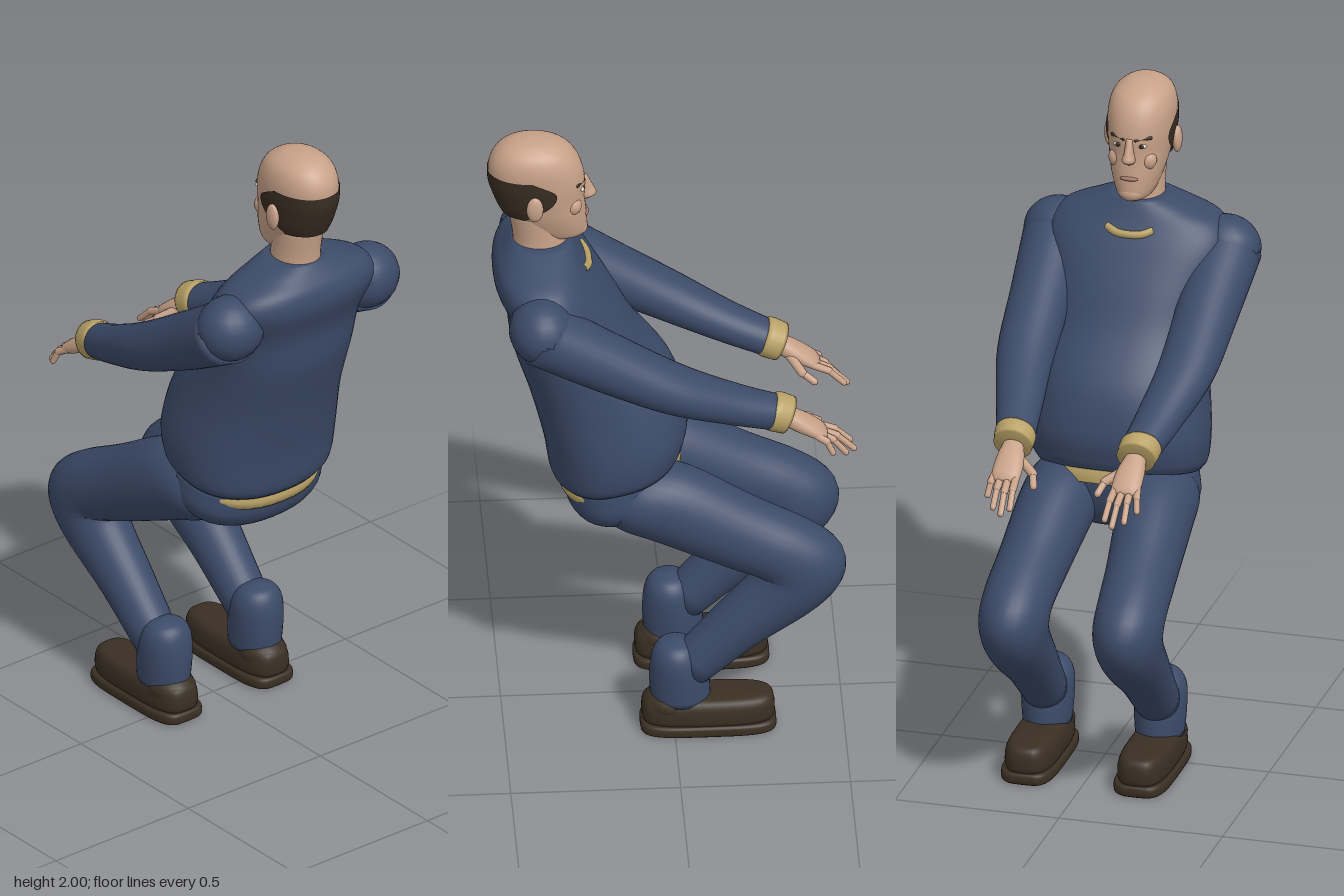
import * as THREE from 'three';

const mat = (name, color, side = THREE.FrontSide) => {
  const m = new THREE.MeshStandardMaterial({ color, side });
  m.name = name;
  return m;
};

export function createModel() {
  const navy = mat('navy cloth', 0x3c4b69);
  const skin = mat('skin', 0xc8a289);
  const tan = mat('tan shirt', 0xb9a267);
  const brown = mat('shoe leather', 0x3a2f23);
  const hairMat = mat('dark hair', 0x382d22, THREE.DoubleSide);
  const white = mat('eye white', 0xd8d2c8);
  const lip = mat('lips', 0xa5786a);

  const model = new THREE.Group();
  model.name = 'crouchingMan';
  const V = (x, y, z) => new THREE.Vector3(x, y, z);

  function add(name, geometry, material, parent = model) {
    const mesh = new THREE.Mesh(geometry, material);
    mesh.name = name;
    parent.add(mesh);
    return mesh;
  }

  // Smooth loft. Ring: [x, y, z, halfWidth, halfDepth, pitch, startAngle]
  // Pitch 0 travels up, 90 forward (-z), 180 down. A start angle over -90 leaves the front open.
  function loft(rings, e = 2, n = 32, steps = 5) {
    const curve = f => new THREE.CatmullRomCurve3(rings.map(f), false, 'catmullrom', 0.5);
    const centre = curve(r => V(r[0], r[1], r[2]));
    const size = curve(r => V(r[3], r[4], r[5] ?? 0));
    const open = curve(r => V(r[6] ?? -90, 0, 0));
    const closed = rings.every(r => r[6] === undefined);
    const cols = closed ? n : n + 1;
    const rows = (rings.length - 1) * steps;
    const pos = [], idx = [];
    const pw = v => Math.sign(v) * Math.abs(v) ** (2 / e);
    for (let i = 0; i <= rows; i++) {
      const c = centre.getPoint(i / rows), s = size.getPoint(i / rows);
      const start = open.getPoint(i / rows).x, p = THREE.MathUtils.degToRad(s.z);
      for (let j = 0; j < cols; j++) {
        const t = THREE.MathUtils.degToRad(start + (180 - 2 * start) * j / n);
        const d = s.y * pw(Math.sin(t));
        pos.push(c.x + s.x * pw(Math.cos(t)), c.y + d * Math.sin(p), c.z + d * Math.cos(p));
      }
    }
    for (let i = 0; i < rows; i++) for (let j = 0; j < n; j++) {
      const a = i * cols + j, b = i * cols + (j + 1) % cols;
      idx.push(a, a + cols, b, b, a + cols, b + cols);
    }
    if (closed) {
      const k = pos.length / 3, last = rows * cols;
      pos.push(...centre.getPoint(0).toArray(), ...centre.getPoint(1).toArray());
      for (let j = 0; j < n; j++) {
        const q = (j + 1) % n;
        idx.push(k, j, q, k + 1, last + q, last + j);
      }
    }
    const g = new THREE.BufferGeometry();
    g.setAttribute('position', new THREE.Float32BufferAttribute(pos, 3));
    g.setIndex(idx);
    g.computeVertexNormals();
    return g;
  }

  const ball = (x, y, z, rx, ry, rz) =>
    new THREE.SphereGeometry(1, 20, 14).scale(rx, ry, rz).translate(x, y, z);

  // Capsule between two points
  function finger(a, b, r) {
    const d = b.clone().sub(a);
    const g = new THREE.CapsuleGeometry(r, d.length(), 4, 10);
    g.applyQuaternion(new THREE.Quaternion().setFromUnitVectors(V(0, 1, 0), d.normalize()));
    const m = a.clone().add(b).multiplyScalar(0.5);
    return g.translate(m.x, m.y, m.z);
  }

  // Jumper, trousers seat and shirt tail
  add('torso', loft([
    [0, 0.87, 0.155, 0.24, 0.188, -14],
    [0, 0.905, 0.16, 0.26, 0.205, -13],
    [0, 1.0, 0.165, 0.267, 0.215, -8],
    [0, 1.15, 0.205, 0.25, 0.215, -4],
    [0, 1.3, 0.28, 0.24, 0.19],
    [0, 1.42, 0.322, 0.25, 0.165],
    [0, 1.52, 0.37, 0.275, 0.152],
    [0, 1.58, 0.388, 0.245, 0.13],
    [0, 1.62, 0.385, 0.16, 0.105],
    [0, 1.648, 0.38, 0.085, 0.085],
  ], 2.3, 48), navy);
  add('pelvis', loft([
    [0, 0.7, 0.12, 0.1, 0.07, -8],
    [0, 0.73, 0.14, 0.19, 0.13, -12],
    [0, 0.79, 0.15, 0.24, 0.165, -14],
    [0, 0.87, 0.155, 0.235, 0.175, -14],
  ], 2.3, 40), navy);
  add('shirtTail', loft([
    [0, 0.828, 0.148, 0.222, 0.184, -14],
    [0, 0.85, 0.153, 0.228, 0.187, -14],
    [0, 0.88, 0.155, 0.22, 0.18, -14],
  ], 2.3, 40), tan);
  add('collar', new THREE.TubeGeometry(new THREE.CatmullRomCurve3(
    [V(-0.07, 1.572, 0.262), V(-0.035, 1.562, 0.245), V(0.035, 1.562, 0.245), V(0.07, 1.572, 0.262)]
  ), 16, 0.012, 8), tan);

  // Head
  const head = new THREE.Group();
  head.name = 'head';
  model.add(head);
  add('neck', loft([
    [0, 1.6, 0.385, 0.078, 0.085], [0, 1.66, 0.385, 0.07, 0.08], [0, 1.76, 0.4, 0.072, 0.08],
  ]), skin, head);
  const skull = [
    [0, 1.655, 0.315, 0.03, 0.045], [0, 1.675, 0.335, 0.055, 0.088], [0, 1.735, 0.355, 0.077, 0.108],
    [0, 1.8, 0.378, 0.09, 0.125], [0, 1.86, 0.392, 0.097, 0.14], [0, 1.92, 0.401, 0.097, 0.134],
    [0, 1.965, 0.405, 0.082, 0.107], [0, 1.992, 0.41, 0.048, 0.062], [0, 2.0, 0.41, 0.012, 0.016],
  ];
  add('skull', loft(skull, 2.15, 40), skin, head);
  add('hair', loft([
    [0, 1.755, 0.375, 0.083, 0.124, 0, 25],
    [0, 1.785, 0.38, 0.093, 0.133, 0, 5],
    [0, 1.82, 0.386, 0.098, 0.14, 0, -14],
    [0, 1.86, 0.392, 0.102, 0.146, 0, -18],
    [0, 1.9, 0.399, 0.1015, 0.141, 0, 4],
  ], 2.15, 40), hairMat, head);
  add('nose', loft([
    [0, 1.783, 0.255, 0.014, 0.017], [0, 1.797, 0.244, 0.02, 0.026],
    [0, 1.82, 0.248, 0.014, 0.022], [0, 1.86, 0.258, 0.01, 0.013],
  ], 2, 14), skin, head);
  add('chin', ball(0, 1.683, 0.265, 0.034, 0.024, 0.022), skin, head);
  add('mouth', ball(0, 1.735, 0.249, 0.028, 0.007, 0.008), lip, head);
  for (const s of [1, -1]) {
    add('ear', ball(0.104 * s, 1.812, 0.405, 0.014, 0.042, 0.025).rotateZ(0), skin, head);
    add('cheek', ball(0.047 * s, 1.785, 0.29, 0.026, 0.03, 0.026), skin, head);
    add('eye', ball(0.036 * s, 1.838, 0.262, 0.016, 0.007, 0.007), white, head);
    add('iris', ball(0.036 * s, 1.838, 0.257, 0.007, 0.007, 0.004), hairMat, head);
    add('eyebrow', finger(V(0.018 * s, 1.856, 0.257), V(0.058 * s, 1.861, 0.277), 0.0055), hairMat, head);
  }

  for (const s of [1, -1]) {
    const side = s > 0 ? 'left' : 'right';

    // Arm reaching forward and down
    const arm = new THREE.Group();
    arm.name = side + 'Arm';
    model.add(arm);
    add('shoulder', ball(0.255 * s, 1.487, 0.395, 0.106, 0.1, 0.096), navy, arm);
    add('sleeve', loft([
      [0.257 * s, 1.48, 0.4, 0.104, 0.098, 118],
      [0.253 * s, 1.36, 0.2, 0.093, 0.088, 118],
      [0.245 * s, 1.25, 0, 0.086, 0.073, 118],
      [0.215 * s, 1.17, -0.17, 0.071, 0.06, 116],
      [0.191 * s, 1.118, -0.3, 0.059, 0.053, 114],
    ]), navy, arm);
    add('cuff', loft([
      [0.193 * s, 1.128, -0.282, 0.058, 0.054, 114],
      [0.191 * s, 1.122, -0.297, 0.062, 0.06, 114],
      [0.188 * s, 1.105, -0.337, 0.058, 0.058, 114],
    ]), tan, arm);

    // Hand
    add('palm', loft([
      [0.187 * s, 1.105, -0.325, 0.03, 0.028, 118],
      [0.184 * s, 1.075, -0.375, 0.042, 0.027, 122],
      [0.183 * s, 1.045, -0.425, 0.044, 0.02, 124],
      [0.183 * s, 1.03, -0.445, 0.034, 0.012, 124],
    ], 2.2, 20), skin, arm);
    const fingers = [
      [0.152, 0.145, 0.98, -0.52], [0.175, 0.17, 0.965, -0.53],
      [0.197, 0.2, 0.972, -0.505], [0.217, 0.228, 0.992, -0.465],
    ];
    for (const [bx, tx, ty, tz] of fingers) {
      const a = V(bx * s, 1.045, -0.42), tip = V(tx * s, ty, tz);
      const knuckle = a.clone().lerp(tip, 0.5).add(V(0, 0.01, -0.005));
      add('fingerBase', finger(a, knuckle, 0.0115), skin, arm);
      add('fingerTip', finger(knuckle, tip, 0.0095), skin, arm);
    }
    add('thumbBase', finger(V(0.16 * s, 1.075, -0.36), V(0.11 * s, 1.045, -0.395), 0.014), skin, arm);
    add('thumbTip', finger(V(0.11 * s, 1.045, -0.395), V(0.098 * s, 1.02, -0.43), 0.011), skin, arm);

    // Bent leg
    const leg = new THREE.Group();
    leg.name = side + 'Leg';
    model.add(leg);
    add('trouserLeg', loft([
      [0.13 * s, 0.835, 0.19, 0.08, 0.07, 117],
      [0.138 * s, 0.812, 0.12, 0.115, 0.115, 117],
      [0.15 * s, 0.775, 0, 0.114, 0.128, 117],
      [0.165 * s, 0.675, -0.2, 0.105, 0.116, 118],
      [0.173 * s, 0.615, -0.325, 0.103, 0.113, 130],
      [0.174 * s, 0.56, -0.372, 0.102, 0.136, 173],
      [0.174 * s, 0.485, -0.335, 0.095, 0.112, 212],
      [0.173 * s, 0.355, -0.19, 0.08, 0.085, 228],
      [0.172 * s, 0.21, -0.045, 0.068, 0.07, 226],
    ]), navy, leg);
    add('trouserHem', loft([
      [0.172 * s, 0.1, -0.02, 0.072, 0.088],
      [0.172 * s, 0.18, -0.015, 0.078, 0.088],
      [0.172 * s, 0.25, -0.008, 0.076, 0.075],
      [0.172 * s, 0.29, -0.005, 0.054, 0.052],
      [0.172 * s, 0.305, -0.005, 0.012, 0.012],
    ]), navy, leg);

    // Shoe
    add('sole', loft([
      [0.172 * s, 0, -0.1, 0.076, 0.192], [0.172 * s, 0.008, -0.1, 0.083, 0.2],
      [0.172 * s, 0.028, -0.1, 0.083, 0.2], [0.172 * s, 0.036, -0.1, 0.076, 0.193],
    ], 4, 40, 3), brown, leg);
    add('shoeUpper', loft([
      [0.172 * s, 0.03, -0.1, 0.07, 0.188], [0.172 * s, 0.05, -0.1, 0.077, 0.196],
      [0.172 * s, 0.09, -0.1, 0.074, 0.194], [0.172 * s, 0.112, -0.1, 0.06, 0.18],
      [0.172 * s, 0.118, -0.1, 0.03, 0.14],
    ], 3.2, 40, 4), brown, leg);
    add('shoeHeel', ball(0.172 * s, 0.09, 0.01, 0.073, 0.05, 0.083), brown, leg);
  }
  return model;
}
